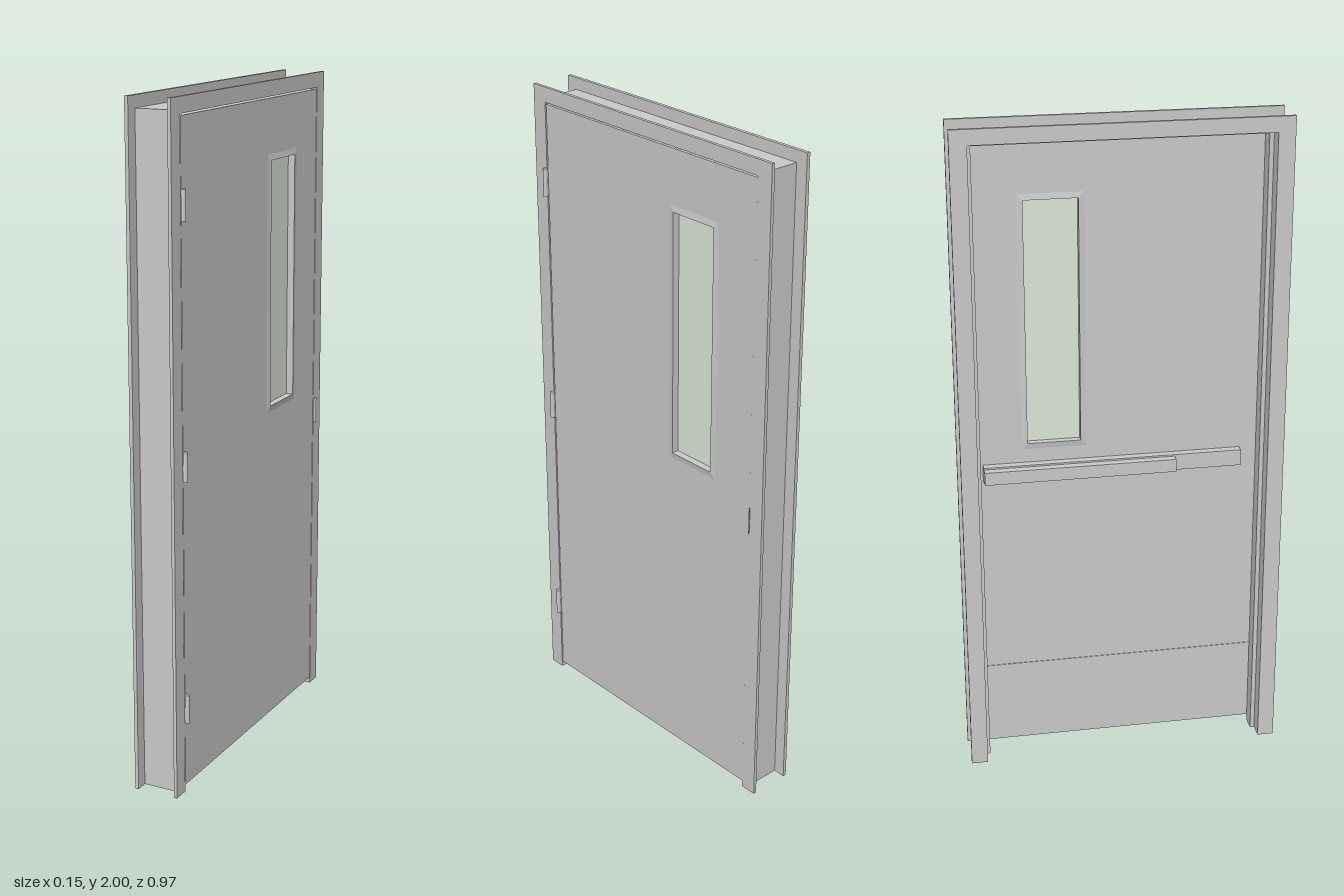
import * as THREE from 'three';

const grey = new THREE.MeshStandardMaterial({ color: 0xcccccc, flatShading: true });
const smooth = new THREE.MeshStandardMaterial({ color: 0xcccccc });
const thin = new THREE.MeshStandardMaterial({ color: 0xcccccc, flatShading: true, side: THREE.DoubleSide });
const green = new THREE.MeshStandardMaterial({ color: 0xdfe8da });

// Window opening and door faces
const WIN = { z0: -0.275, z1: -0.116, y0: 1.03, y1: 1.77 };
const DOOR_BACK = 0.02, DOOR_FRONT = 0.061, GLASS = (DOOR_BACK + DOOR_FRONT) / 2;

// Extrudes an outline drawn in (-z, y) from x0 to x1
function slab(name, shape, x0, x1) {
  const geo = new THREE.ExtrudeGeometry(shape, { depth: x1 - x0, bevelEnabled: false });
  geo.rotateY(Math.PI / 2).translate(x0, 0, 0);
  const mesh = new THREE.Mesh(geo, grey);
  mesh.name = name;
  return mesh;
}

function box(name, x0, x1, y0, y1, z0, z1, material = grey) {
  const mesh = new THREE.Mesh(new THREE.BoxGeometry(x1 - x0, y1 - y0, z1 - z0), material);
  mesh.position.set((x0 + x1) / 2, (y0 + y1) / 2, (z0 + z1) / 2);
  mesh.name = name;
  return mesh;
}

const points = (list) => list.map(([a, b]) => new THREE.Vector2(a, b));

// Upside-down U: two jambs and a head
function portal(outZ, outY, inZ, inY) {
  return new THREE.Shape(points([
    [-outZ, 0], [-inZ, 0], [-inZ, inY], [inZ, inY],
    [inZ, 0], [outZ, 0], [outZ, outY], [-outZ, outY],
  ]));
}

// Sloped trim around the window that turns inward to the glass
function windowTrim(name, face, out) {
  const rings = [[0.018, face], [0, face + out * 0.003], [0, GLASS]].map(([pad, x]) => [
    [x, WIN.y0 - pad, WIN.z0 - pad], [x, WIN.y0 - pad, WIN.z1 + pad],
    [x, WIN.y1 + pad, WIN.z1 + pad], [x, WIN.y1 + pad, WIN.z0 - pad],
  ]);
  const pos = [];
  for (let r = 0; r < 2; r++) {
    for (let i = 0; i < 4; i++) {
      const j = (i + 1) % 4;
      const [a, b, c, d] = [rings[r][i], rings[r][j], rings[r + 1][j], rings[r + 1][i]];
      const tris = out > 0 ? [a, c, b, a, d, c] : [a, b, c, a, c, d];
      pos.push(...tris.flat());
    }
  }
  const geo = new THREE.BufferGeometry();
  geo.setAttribute('position', new THREE.Float32BufferAttribute(pos, 3));
  geo.computeVertexNormals();
  const mesh = new THREE.Mesh(geo, thin);
  mesh.name = name;
  return mesh;
}

export function createModel() {
  const model = new THREE.Group();
  model.name = 'door';

  // Frame: wide face flanges, narrow throat and the raised stop
  const frame = new THREE.Group();
  frame.name = 'frame';
  frame.add(
    slab('backFlange', portal(0.484, 2, 0.434, 1.955), -0.077, -0.066),
    slab('backRabbet', portal(0.447, 1.965, 0.434, 1.955), -0.066, -0.03),
    slab('doorStop', portal(0.447, 1.965, 0.421, 1.942), -0.03, 0.018),
    slab('frontRabbet', portal(0.447, 1.965, 0.434, 1.955), 0.018, 0.052),
    slab('frontFlange', portal(0.484, 2, 0.434, 1.955), 0.052, 0.062),
  );
  model.add(frame);

  // Door leaf with window opening
  const leaf = new THREE.Shape(points([
    [-0.43, 0.02], [0.433, 0.02], [0.433, 1.95], [-0.43, 1.95],
  ]));
  leaf.holes.push(new THREE.Path(points([
    [-WIN.z0, WIN.y0], [-WIN.z0, WIN.y1], [-WIN.z1, WIN.y1], [-WIN.z1, WIN.y0],
  ])));
  model.add(
    slab('doorLeaf', leaf, DOOR_BACK, DOOR_FRONT),
    windowTrim('frontWindowTrim', DOOR_FRONT, 1),
    windowTrim('backWindowTrim', DOOR_BACK, -1),
    box('windowGlass', GLASS - 0.002, GLASS + 0.002, WIN.y0, WIN.y1, WIN.z0, WIN.z1, green),
  );

  // Hinges: knuckle and a leaf reaching into the gap
  for (const y of [0.263, 0.988, 1.715]) {
    const hinge = new THREE.Group();
    hinge.name = 'hinge';
    const knuckle = new THREE.Mesh(new THREE.CylinderGeometry(0.007, 0.007, 0.086, 16), smooth);
    knuckle.name = 'hingeKnuckle';
    knuckle.position.set(0.07, y, 0.433);
    hinge.add(knuckle, box('hingeLeaf', 0.03, 0.068, y - 0.043, y + 0.043, 0.43, 0.434));
    model.add(hinge);
  }

  // Strike lip curling out of the latch side
  const lip = new THREE.Shape(points([
    [0.055, -0.433], [0.064, -0.434], [0.07, -0.44],
    [0.069, -0.442], [0.063, -0.437], [0.055, -0.436],
  ]));
  const lipGeo = new THREE.ExtrudeGeometry(lip, { depth: 0.08, bevelEnabled: false });
  // Outline is (x, z); stand the extrusion upright
  lipGeo.rotateX(Math.PI / 2).translate(0, 0.98, 0);
  const strike = new THREE.Mesh(lipGeo, grey);
  strike.name = 'strikeLip';
  model.add(strike);

  // Push bar and kick plate on the back face
  const bar = new THREE.Group();
  bar.name = 'pushBar';
  bar.add(
    box('barRail', -0.005, DOOR_BACK, 0.92, 0.97, -0.41, 0.37),
    box('barPad', -0.03, -0.005, 0.925, 0.965, -0.41, 0.166),
  );
  model.add(bar, box('kickPlate', DOOR_BACK - 0.002, DOOR_BACK, 0.022, 0.288, -0.42, 0.42));

  return model;
}
